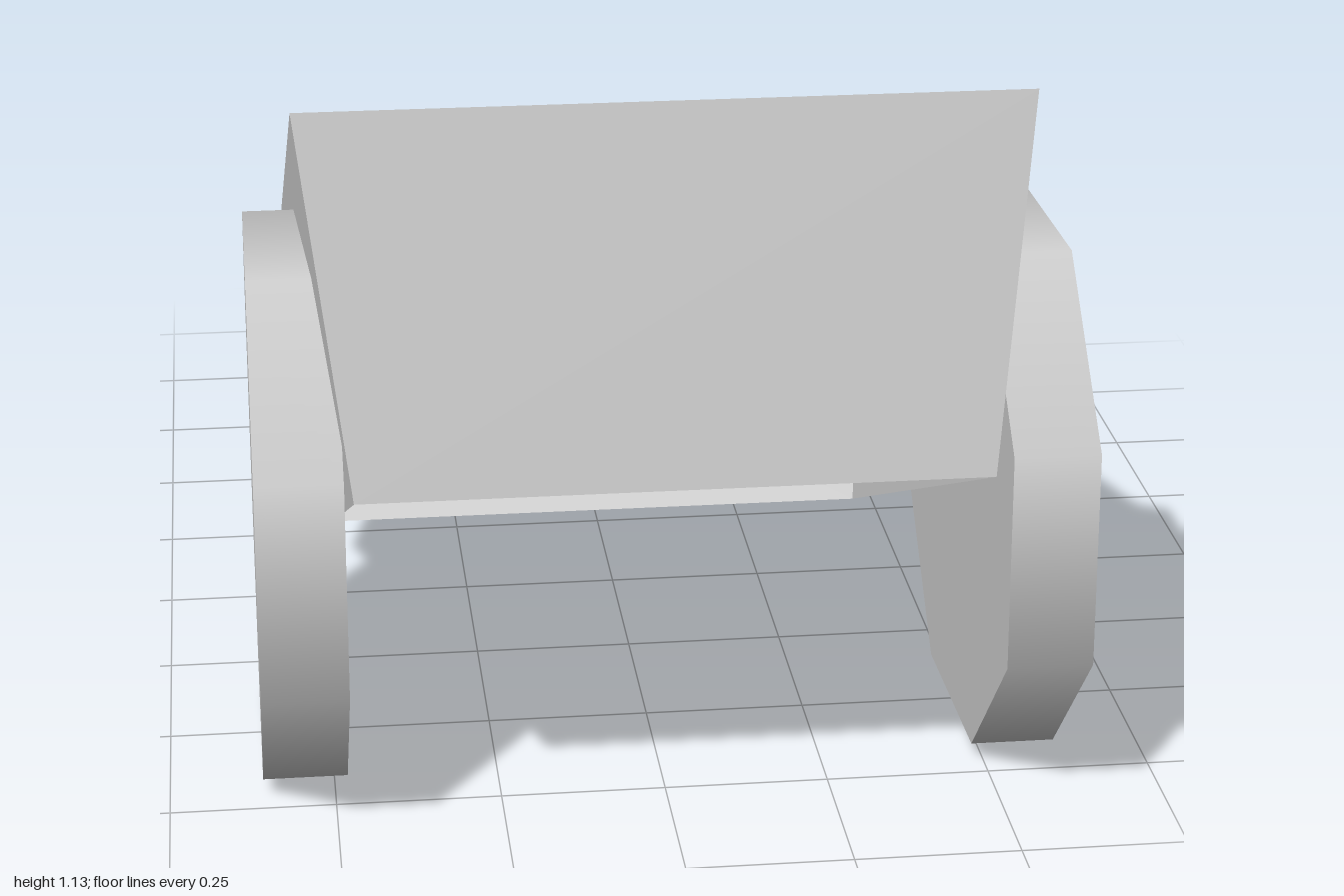
import * as THREE from 'three';

const TILT = THREE.MathUtils.degToRad(25);

// Four corners, counter-clockwise from above, from x limits and front/back [y, z]
function loop(x0, x1, [yf, zf], [yb, zb]) {
  return [[x0, yf, zf], [x1, yf, zf], [x1, yb, zb], [x0, yb, zb]];
}

// Skin consecutive loops with flat quads and close the last one
function skin(loops) {
  const pos = [];
  const quad = (a, b, c, d) => pos.push(...a, ...b, ...c, ...a, ...c, ...d);
  for (let k = 0; k < loops.length - 1; k++) {
    const lo = loops[k], hi = loops[k + 1];
    for (let i = 0; i < 4; i++) {
      const j = (i + 1) % 4;
      quad(lo[i], lo[j], hi[j], hi[i]);
    }
  }
  quad(...loops[loops.length - 1]);
  const geo = new THREE.BufferGeometry();
  geo.setAttribute('position', new THREE.Float32BufferAttribute(pos, 3));
  geo.computeVertexNormals();
  return geo;
}

export function createModel() {
  const group = new THREE.Group();
  const mat = new THREE.MeshStandardMaterial({ color: 0xcccccc });
  const shellMat = new THREE.MeshStandardMaterial({ color: 0xcccccc, side: THREE.DoubleSide });

  const add = (geo, material, name) => {
    const mesh = new THREE.Mesh(geo, material);
    mesh.name = name;
    group.add(mesh);
    return mesh;
  };

  // Tipped tray: flared outer walls, flat rim, recessed bed, open underneath
  add(skin([
    loop(-0.47, 0.44, [0.607, 1.0], [0.07, -0.15]),
    loop(-0.54, 0.51, [1.138, 0.863], [0.516, -0.47]),
    loop(-0.39, 0.36, [1.085, 0.75], [0.567, -0.36]),
    loop(-0.39, 0.36, [0.771, 0.896], [0.253, -0.214]),
  ]), shellMat, 'tray');

  for (const side of [-1, 1]) {
    const label = side > 0 ? 'left' : 'right';

    // Eight-sided wheel
    const wheelGeo = new THREE.CylinderGeometry(0.432, 0.432, 0.128, 8, 1, false, THREE.MathUtils.degToRad(69));
    wheelGeo.rotateZ(Math.PI / 2);
    add(wheelGeo, mat, label + 'Wheel').position.set(side * 0.545, 0.427, 0.535);

    // Six-sided handle, widening toward its free end
    const handleGeo = new THREE.CylinderGeometry(0.08, 0.062, 0.728, 6, 1, false, Math.PI / 6);
    handleGeo.rotateX(-Math.PI / 2 - TILT);
    add(handleGeo, mat, label + 'Handle').position.set(side * 0.28 - 0.01, 0.221, -0.64);
  }
  return group;
}
